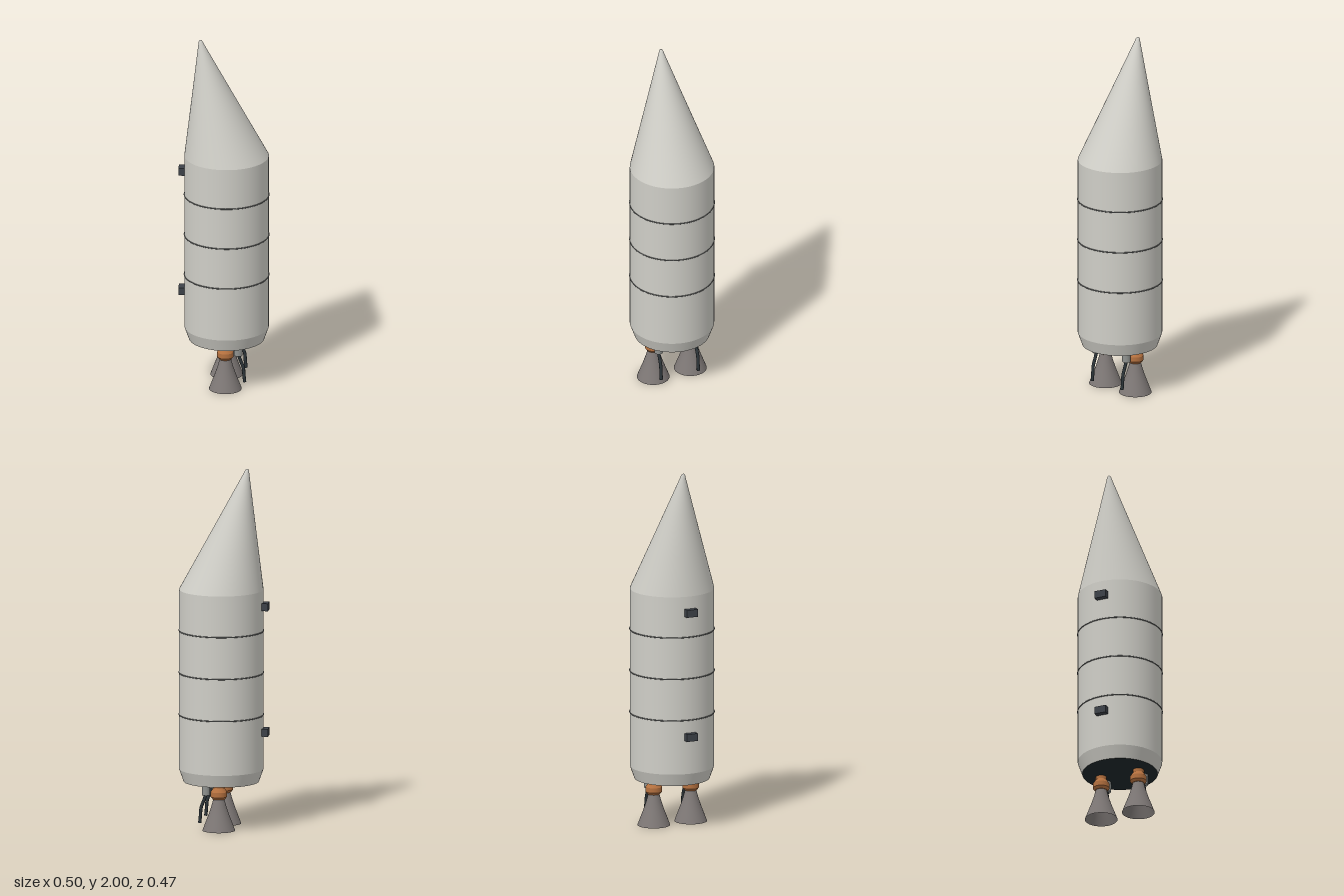
import * as THREE from 'three';

const CX = 0.013; // body axis
const R = 0.232; // body radius
const SEG = 64;

function material(name, color, side = THREE.FrontSide) {
  const m = new THREE.MeshStandardMaterial({ color, side });
  m.name = name;
  return m;
}

function add(parent, name, geometry, mat, x = 0, y = 0, z = 0) {
  const mesh = new THREE.Mesh(geometry, mat);
  mesh.name = name;
  mesh.position.set(x, y, z);
  parent.add(mesh);
  return mesh;
}

const lathe = (points, seg = SEG) =>
  new THREE.LatheGeometry(points.map(([r, y]) => new THREE.Vector2(r, y)), seg);

export function createModel() {
  const hull = material('hull white', 0xcfcec7);
  const seam = material('seam grey', 0x686a69);
  const dark = material('base dark', 0x20292c);
  const bracket = material('bracket charcoal', 0x3d4249);
  const copper = material('copper', 0xb5713f);
  const nozzleGrey = material('nozzle grey', 0x7e7876, THREE.DoubleSide);
  const pumpGrey = material('pump grey', 0x8f928f);
  const hose = material('hose black', 0x2c3438);

  const model = new THREE.Group();
  model.name = 'booster';

  // Tank, tapered skirt and dark base plate
  add(model, 'tank', new THREE.CylinderGeometry(R, R, 1, SEG, 1, true), hull, CX, 0.825);
  add(model, 'skirt', new THREE.CylinderGeometry(R, 0.207, 0.07, SEG, 1, true), hull, CX, 0.29);
  const base = add(model, 'basePlate', new THREE.CircleGeometry(0.207, SEG), dark, CX, 0.255);
  base.rotation.x = Math.PI / 2;

  // Slanted nose: a straight cone with a rounded tip, sheared sideways
  const nose = lathe([[R, 0], [0.16, 0.215], [0.085, 0.44], [0.016, 0.648],
    [0.012, 0.662], [0.007, 0.671], [0, 0.675]]);
  nose.applyMatrix4(new THREE.Matrix4().makeShear(0, 0, -0.145 / 0.675, 0, 0, 0));
  add(model, 'noseCone', nose, hull, CX, 1.325);

  // Seam rings
  for (const y of [0.628, 0.862, 1.096]) {
    const ring = add(model, 'seamRing', new THREE.TorusGeometry(R, 0.0035, 6, SEG), seam, CX, y);
    ring.rotation.x = Math.PI / 2;
  }

  // Mounting brackets on the right side
  for (const y of [0.535, 1.235]) {
    add(model, 'mountBracket', new THREE.BoxGeometry(0.04, 0.042, 0.066), bracket, -0.23, y);
  }

  // Two engines, each with a pump and exhaust hose
  for (const z of [-0.112, 0.112]) {
    const engine = new THREE.Group();
    engine.name = 'engine';
    engine.position.set(0.01, 0, z);
    model.add(engine);

    add(engine, 'nozzle', lathe([[0.09, 0], [0.073, 0.045], [0.056, 0.09], [0.041, 0.135], [0.029, 0.18]], 40), nozzleGrey);
    add(engine, 'chamberBottom', new THREE.CylinderGeometry(0.045, 0.034, 0.014, 32), copper, 0, 0.181);
    add(engine, 'chamber', new THREE.CylinderGeometry(0.045, 0.045, 0.027, 32), copper, 0, 0.2015);
    add(engine, 'chamberTop', new THREE.CylinderGeometry(0.03, 0.045, 0.022, 32), copper, 0, 0.226);
    add(engine, 'chamberNeck', new THREE.CylinderGeometry(0.03, 0.03, 0.022, 32), copper, 0, 0.247);

    add(engine, 'pump', new THREE.CylinderGeometry(0.023, 0.023, 0.062, 24), pumpGrey, 0.071, 0.226);
    const path = new THREE.CatmullRomCurve3([[0.071, 0.2], [0.083, 0.165], [0.098, 0.125], [0.102, 0.08], [0.106, 0.04]]
      .map(([x, y]) => new THREE.Vector3(x, y, 0)));
    add(engine, 'exhaustHose', new THREE.TubeGeometry(path, 24, 0.009, 12), hose);
    const cap = add(engine, 'hoseEnd', new THREE.CircleGeometry(0.009, 12), hose, 0.106, 0.04);
    cap.rotation.x = Math.PI / 2;
  }

  return model;
}
